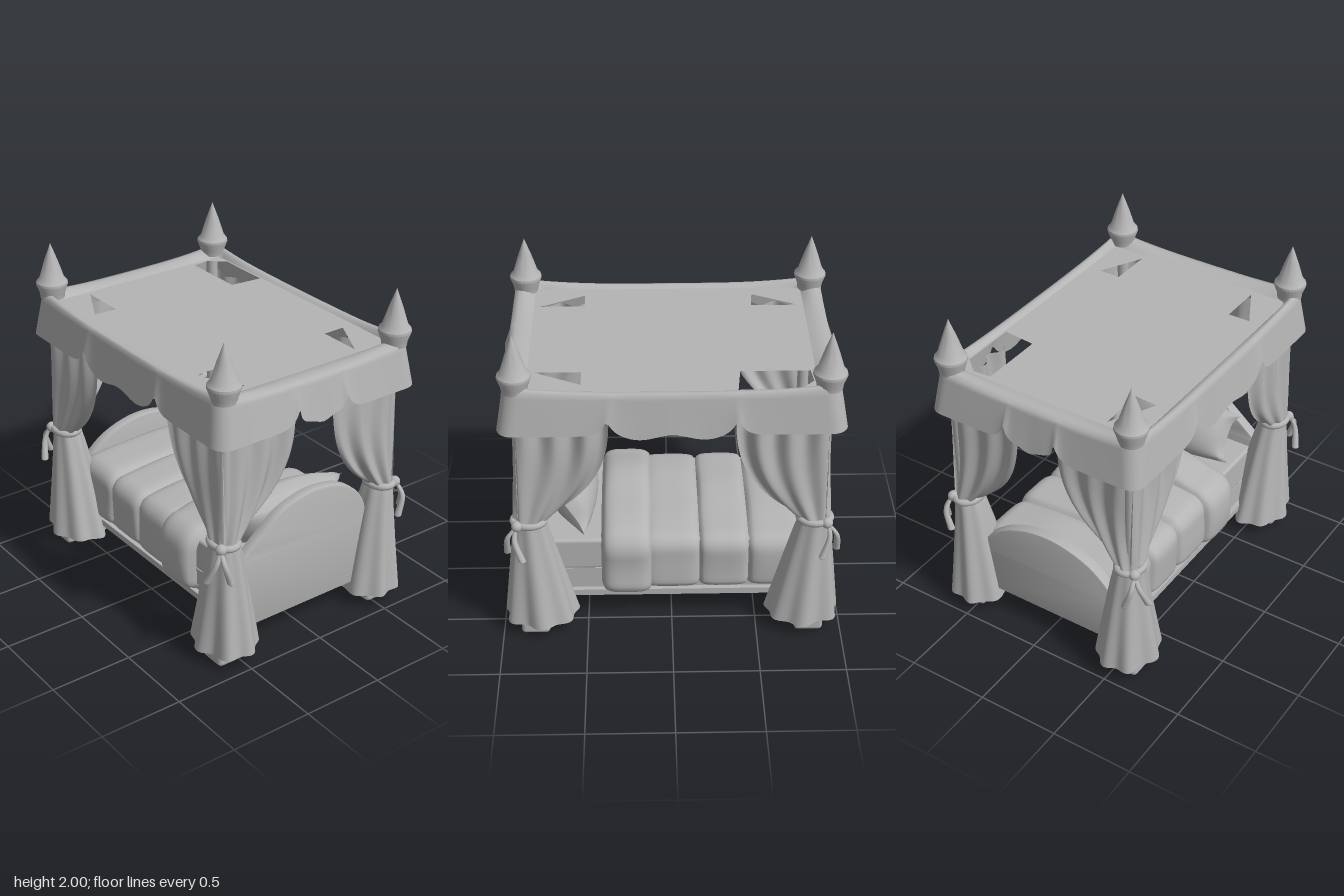
import * as THREE from 'three';
import { toCreasedNormals } from 'three/addons/utils/BufferGeometryUtils.js';
import { RoundedBoxGeometry } from 'three/addons/geometries/RoundedBoxGeometry.js';

const clay = new THREE.MeshStandardMaterial({ color: 0xb4b4b4, side: THREE.DoubleSide });
clay.name = 'plain grey';

const { lerp, clamp } = THREE.MathUtils;

function add(parent, name, geometry, x = 0, y = 0, z = 0) {
  const mesh = new THREE.Mesh(geometry, clay);
  mesh.name = name;
  mesh.position.set(x, y, z);
  parent.add(mesh);
  return mesh;
}

// Smooth surface from a rule: fn(u, v) -> [x, y, z]; closed joins u = 1 to u = 0
function sheet(nu, nv, fn, closed = false) {
  const pos = [], idx = [], cols = closed ? nu : nu + 1;
  for (let j = 0; j <= nv; j++) for (let i = 0; i < cols; i++) pos.push(...fn(i / nu, j / nv));
  for (let j = 0; j < nv; j++) for (let i = 0; i < nu; i++) {
    const a = j * cols + i, b = j * cols + (i + 1) % cols, c = a + cols, d = b + cols;
    idx.push(a, c, b, b, c, d);
  }
  const g = new THREE.BufferGeometry();
  g.setAttribute('position', new THREE.Float32BufferAttribute(pos, 3));
  g.setIndex(idx);
  g.computeVertexNormals();
  return g;
}

// Point on the rim of a square (-1..1), running clockwise for u = 0..1
function squareRim(u) {
  const k = (u % 1) * 4, side = Math.floor(k), t = (k - side) * 2 - 1;
  return [[t, 1], [1, -t], [-t, -1], [-1, t]][side];
}

// The same point on a rounded rectangle
function roundRect(a, b, hx, hz, r) {
  const px = clamp(a * hx, r - hx, hx - r), pz = clamp(b * hz, r - hz, hz - r);
  const dx = a * hx - px, dz = b * hz - pz, l = Math.hypot(dx, dz) || 1;
  return [px + dx / l * r, pz + dz / l * r];
}

// Canopy: flat middle cloth with openings, border rising to the posts, scalloped valance
function canopy(parent) {
  const outline = [];
  for (let i = 0; i < 160; i++) {
    const [x, z] = roundRect(...squareRim(i / 160), 0.6, 0.8, 0.04);
    outline.push(new THREE.Vector2(x, -z));
  }
  const shape = new THREE.Shape(outline);
  const openings = [
    [[-0.38, -0.77], [-0.52, -0.5], [-0.38, -0.49]],
    [[0.39, -0.77], [0.5, -0.78], [0.59, -0.7], [0.59, -0.36], [0.39, -0.38]],
    [[-0.52, 0.5], [-0.385, 0.5], [-0.385, 0.76]],
    [[0.385, 0.5], [0.52, 0.5], [0.385, 0.76]],
  ];
  for (const o of openings) shape.holes.push(new THREE.Path(o.map(([x, z]) => new THREE.Vector2(x, -z))));
  add(parent, 'canopyTop', new THREE.ShapeGeometry(shape).rotateX(-Math.PI / 2), 0, 1.65, 0);

  const hemY = (a, b) => {
    const end = Math.abs(b) === 1;
    const t = Math.abs(end ? a * 0.69 : b * 0.965), notch = end ? 0.165 : 0.36;
    const wave = t < notch ? (end ? -0.008 : 0.015) * Math.cos(t / notch * Math.PI * 2) - 0.012 : 0;
    return 1.425 + wave + 0.1 * Math.exp(-Math.abs(t - notch) / 0.035);
  };
  add(parent, 'canopyValance', sheet(400, 12, (u, v) => {
    const [a, b] = squareRim(u);
    const rim = Math.min(1, v * 3), f = Math.max(0, (v - 1 / 3) * 1.5);
    const [x, z] = roundRect(a, b, 0.6 + 0.06 * rim + 0.035 * f, 0.8 + 0.12 * rim + 0.045 * f, 0.04 + 0.05 * rim);
    const rise = 0.035 * Math.abs(a * b) ** 3 * Math.sin(rim * 2.4) / 0.8;
    return [x, lerp(1.65 + rise + 0.015 * Math.sin(rim * 2.6), hemY(a, b), f), z];
  }, true));
}

// One corner: post, foot, spire, tied curtain and bow, built at +x +z
function corner(parent, name, sx, sz) {
  const g = new THREE.Group();
  g.name = name;
  g.scale.set(sx, 1, sz);
  parent.add(g);
  add(g, 'foot', new RoundedBoxGeometry(0.19, 0.14, 0.17, 2, 0.025), 0.55, 0.07, 0.81);
  add(g, 'post', new THREE.CylinderGeometry(0.035, 0.035, 1.58, 16), 0.58, 0.89, 0.845);
  const spire = [[0, 1.66], [0.072, 1.66], [0.075, 1.69], [0.095, 1.745], [0.093, 1.76], [0.073, 1.785], [0.04, 1.89], [0, 2]];
  add(g, 'spire', toCreasedNormals(new THREE.LatheGeometry(spire.map(q => new THREE.Vector2(...q)), 28), 0.5), 0.59, 0, 0.855);

  // Upper curtain: two pleated panels swept from the rail into the tie
  const cx = 0.565, cz = 0.82;
  const panel = (u0, u1) => sheet(60, 24, (s, t) => {
    const u = lerp(u0, u1, s), f = 1 - (1 - t) ** 2.9;
    const th = THREE.MathUtils.degToRad(200 - 310 * u);
    const pleat = 0.02 * Math.sin(u * Math.PI * 12) + 0.008 * Math.sin(u * 41 + t * 3);
    const front = u < 0.5;
    const tx = front ? lerp(0.13, 0.63, u * 2) : 0.615 + pleat;
    const tz = front ? 0.88 + pleat : lerp(0.88, 0.35, u * 2 - 1);
    const r = 1 + 0.1 * Math.sin(u * Math.PI * 12);
    return [lerp(cx + 0.07 * r * Math.cos(th), tx, f), lerp(0.78, 1.54, t), lerp(cz + 0.085 * r * Math.sin(th), tz, f)];
  });
  add(g, 'curtainEndPanel', panel(0, 0.48));
  add(g, 'curtainSidePanel', panel(0.52, 1));

  // Lower curtain: flared skirt with folds
  add(g, 'curtainSkirt', sheet(96, 16, (u, s) => {
    const th = u * Math.PI * 2, k = s ** 0.95;
    const r = 1 + (0.03 + 0.05 * s) * Math.cos(th * 7) + 0.03 * s * Math.cos(th * 5 + 1);
    return [lerp(cx, 0.525, s ** 0.6) + lerp(0.078, 0.175, k) * r * Math.cos(th), 0.8 - 0.715 * s,
      lerp(cz, 0.775, s) + lerp(0.085, 0.21, k) * r * Math.sin(th)];
  }, true));

  // Tie band, knot and hanging tails
  const band = new THREE.TorusGeometry(0.075, 0.018, 10, 32).rotateX(Math.PI / 2).scale(1, 1.2, 1.2);
  add(g, 'tieBand', band, cx, 0.78, cz);
  add(g, 'tieKnot', new THREE.SphereGeometry(0.033, 16, 12), 0.63, 0.78, 0.885);
  for (const [x, z, bx, bz] of [[0.705, 0.86, 0.67, 0.9], [0.61, 0.95, 0.645, 0.94]]) {
    const path = new THREE.CatmullRomCurve3([new THREE.Vector3(0.635, 0.78, 0.89), new THREE.Vector3(bx, 0.71, bz), new THREE.Vector3(x, 0.59, z)]);
    add(g, 'tieTail', sheet(10, 10, (u, t) => {
      const c = path.getPoint(t), a = u * Math.PI * 2, r = 0.01 + 0.012 * t;
      return [c.x + r * Math.cos(a), c.y, c.z + r * Math.sin(a)];
    }, true));
    add(g, 'tieTailEnd', new THREE.SphereGeometry(0.022, 10, 6).scale(1, 0.4, 1), x, 0.59, z);
  }
}

// Head and foot boards: an outline of curve points above a straight base
function board(parent, name, points, z) {
  const shape = new THREE.Shape();
  shape.moveTo(-0.47, 0.15);
  shape.lineTo(...points[0]);
  shape.splineThru(points.slice(1).map(q => new THREE.Vector2(...q)));
  shape.lineTo(0.47, 0.15);
  const g = new THREE.ExtrudeGeometry(shape, { depth: 0.05, bevelSize: 0.01, bevelThickness: 0.01, bevelOffset: -0.01, bevelSegments: 2, curveSegments: 48 });
  add(parent, name, toCreasedNormals(g, 0.6), 0, 0, z - 0.025);
}

// Puffy quilt section draped over the mattress between z0 and z1
function drape(z0, z1, puff, dome, seed) {
  const c = 0.39, low = 0.255, high = 0.47;
  const path = [];
  for (let i = 0; i <= 5; i++) path.push([c, low, -90 + i * 18]);
  for (let i = 1; i <= 8; i++) path.push([c, lerp(low, high, i / 8), 0]);
  for (let i = 1; i <= 6; i++) path.push([c, high, i * 15]);
  for (let i = 1; i <= 12; i++) path.push([c * (1 - i / 12), high, 90]);
  const full = [...path, ...path.slice(0, -1).reverse().map(([x, y, a]) => [-x, y, 180 - a])];
  return sheet(full.length - 1, 20, (u, v) => {
    const [x, y, deg] = full[Math.round(u * (full.length - 1))];
    const a = THREE.MathUtils.degToRad(deg), w = 2 * v - 1;
    const r = 0.068 + puff * Math.sqrt(Math.max(0, 1 - w ** 4)) * (1 + 0.12 * Math.sin(u * 23 + seed));
    const lift = y === high ? dome * (1 - (x / c) ** 2) : 0;
    const hem = Math.sin(a) < 0 ? 0.6 : 1;
    return [x + r * Math.cos(a), y + r * hem * Math.sin(a) + lift, lerp(z0, z1, v)];
  });
}

export function createModel() {
  const bed = new THREE.Group();
  bed.name = 'canopyBed';

  canopy(bed);
  for (const sx of [1, -1]) for (const sz of [1, -1])
    corner(bed, (sz > 0 ? 'head' : 'foot') + (sx > 0 ? 'Left' : 'Right') + 'Corner', sx, sz);

  // Frame and mattress
  add(bed, 'basePlate', new THREE.BoxGeometry(0.94, 0.04, 1.64), 0, 0.17, 0);
  add(bed, 'sideRails', new THREE.BoxGeometry(0.88, 0.15, 1.62), 0, 0.255, 0);
  add(bed, 'mattress', new RoundedBoxGeometry(0.88, 0.21, 1.58, 3, 0.02), 0, 0.43, 0);
  board(bed, 'headboard', [[-0.47, 0.59], [-0.33, 0.71], [-0.19, 0.82], [-0.06, 0.87], [0.08, 0.89], [0.24, 0.865], [0.37, 0.79], [0.44, 0.69], [0.47, 0.57]], 0.8);
  board(bed, 'footboard', [[-0.47, 0.44], [-0.42, 0.54], [-0.3, 0.64], [-0.15, 0.7], [0, 0.72], [0.15, 0.7], [0.3, 0.64], [0.42, 0.54], [0.47, 0.44]], -0.81);

  // Quilt puffs and the turned-back fold
  [[0.16, -0.165], [-0.165, -0.455], [-0.455, -0.79]].forEach(([a, b], i) =>
    add(bed, 'quiltPuff', drape(a, b, 0.036, 0.025, i * 2)));
  add(bed, 'quiltFold', drape(0.415, 0.11, 0.075, 0.05, 1));

  // Pillow with pinched corners, leaning on the headboard
  const pillow = new THREE.Group();
  pillow.name = 'pillow';
  pillow.position.set(0, 0.685, 0.595);
  pillow.rotation.x = 0.55;
  bed.add(pillow);
  for (const side of [1, -1]) add(pillow, side > 0 ? 'pillowBack' : 'pillowFront', sheet(32, 24, (u, v) => {
    const a = 2 * u - 1, b = 2 * v - 1;
    const fat = ((1 - a ** 2) * (1 - b ** 2)) ** 0.45;
    return [a * (0.36 + 0.05 * b ** 4), b * (0.14 + 0.05 * (1 - a ** 2) + 0.015 * a ** 6), side * 0.14 * fat];
  }));
  return bed;
}
